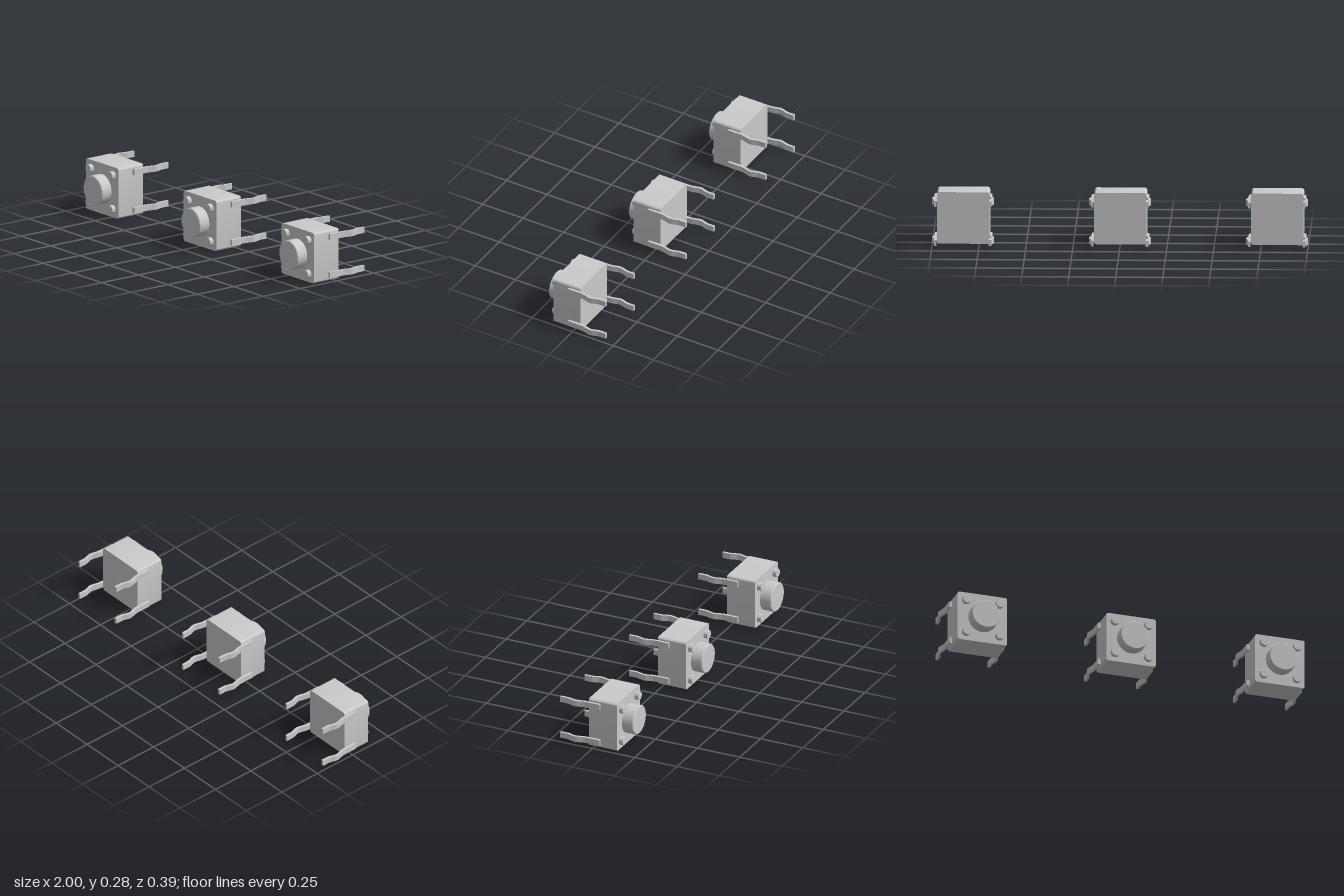
import * as THREE from 'three';
import { toCreasedNormals } from 'three/addons/utils/BufferGeometryUtils.js';

const SPACING = 0.835, SIZE = 0.278, MID = SIZE / 2;
const BACK = -0.034, FACE = 0.133;
const material = new THREE.MeshStandardMaterial({ color: 0xcccccc });

function part(name, geometry, x = 0, y = 0, z = 0) {
  const mesh = new THREE.Mesh(geometry, material);
  mesh.name = name;
  mesh.position.set(x, y, z);
  return mesh;
}

// Square housing with rounded corners, extruded front to back
function housingGeometry() {
  const h = SIZE / 2, r = 0.012, s = new THREE.Shape();
  s.moveTo(h, -h + r);
  s.absarc(h - r, h - r, r, 0, Math.PI / 2);
  s.absarc(-h + r, h - r, r, Math.PI / 2, Math.PI);
  s.absarc(-h + r, -h + r, r, Math.PI, Math.PI * 1.5);
  s.absarc(h - r, -h + r, r, Math.PI * 1.5, Math.PI * 2);
  const g = new THREE.ExtrudeGeometry(s, { depth: FACE - BACK, bevelEnabled: false, curveSegments: 6 });
  return toCreasedNormals(g, 0.6);
}

// Round post facing +z, its base at z = 0, with a small chamfer on the rim
function postGeometry(radius, length, chamfer) {
  const profile = [[0, 0], [radius, 0], [radius, length - chamfer], [radius - chamfer, length], [0, length]];
  const g = new THREE.LatheGeometry(profile.map(p => new THREE.Vector2(...p)), 48);
  g.rotateX(Math.PI / 2);
  return toCreasedNormals(g.toNonIndexed(), 0.5);
}

// Flat metal strip with an outward kink: points are (x, -z) along its inner face
function legGeometry() {
  const width = 0.032, thick = 0.014;
  const bend = new THREE.SplineCurve([
    [0.139, 0.04], [0.14, 0.055], [0.146, 0.08], [0.151, 0.098],
    [0.151, 0.112], [0.146, 0.13], [0.14, 0.148], [0.139, 0.16],
  ].map(p => new THREE.Vector2(...p))).getPoints(28);
  const inner = [new THREE.Vector2(0.139, -0.036), ...bend, new THREE.Vector2(0.139, 0.197)];
  const outer = inner.map(p => new THREE.Vector2(p.x + thick, p.y));
  const shape = new THREE.Shape([...outer, ...inner.reverse()]);
  const g = new THREE.ExtrudeGeometry(shape, { depth: width, bevelEnabled: false });
  g.translate(0, 0, -width / 2);
  g.rotateX(-Math.PI / 2);
  return toCreasedNormals(g, 0.6);
}

export function createModel() {
  const model = new THREE.Group();
  model.name = 'pushSwitches';
  const housing = housingGeometry();
  const button = postGeometry(0.08, 0.065, 0.004);
  const peg = postGeometry(0.023, 0.023, 0.001);
  const leg = legGeometry();

  for (const i of [-1, 0, 1]) {
    const unit = new THREE.Group();
    unit.name = 'pushSwitch';
    unit.position.x = i * SPACING;
    unit.add(part('housing', housing, 0, 0 + MID, BACK));
    unit.add(part('button', button, 0, MID, FACE));
    for (const sx of [-1, 1]) for (const sy of [-1, 1]) {
      unit.add(part('cornerPeg', peg, sx * 0.093, MID + sy * 0.093, FACE));
      const l = part('leg', leg, 0, MID + sy * 0.105, 0);
      if (sx < 0) l.rotation.z = Math.PI; // opposite side
      unit.add(l);
    }
    model.add(unit);
  }
  return model;
}
